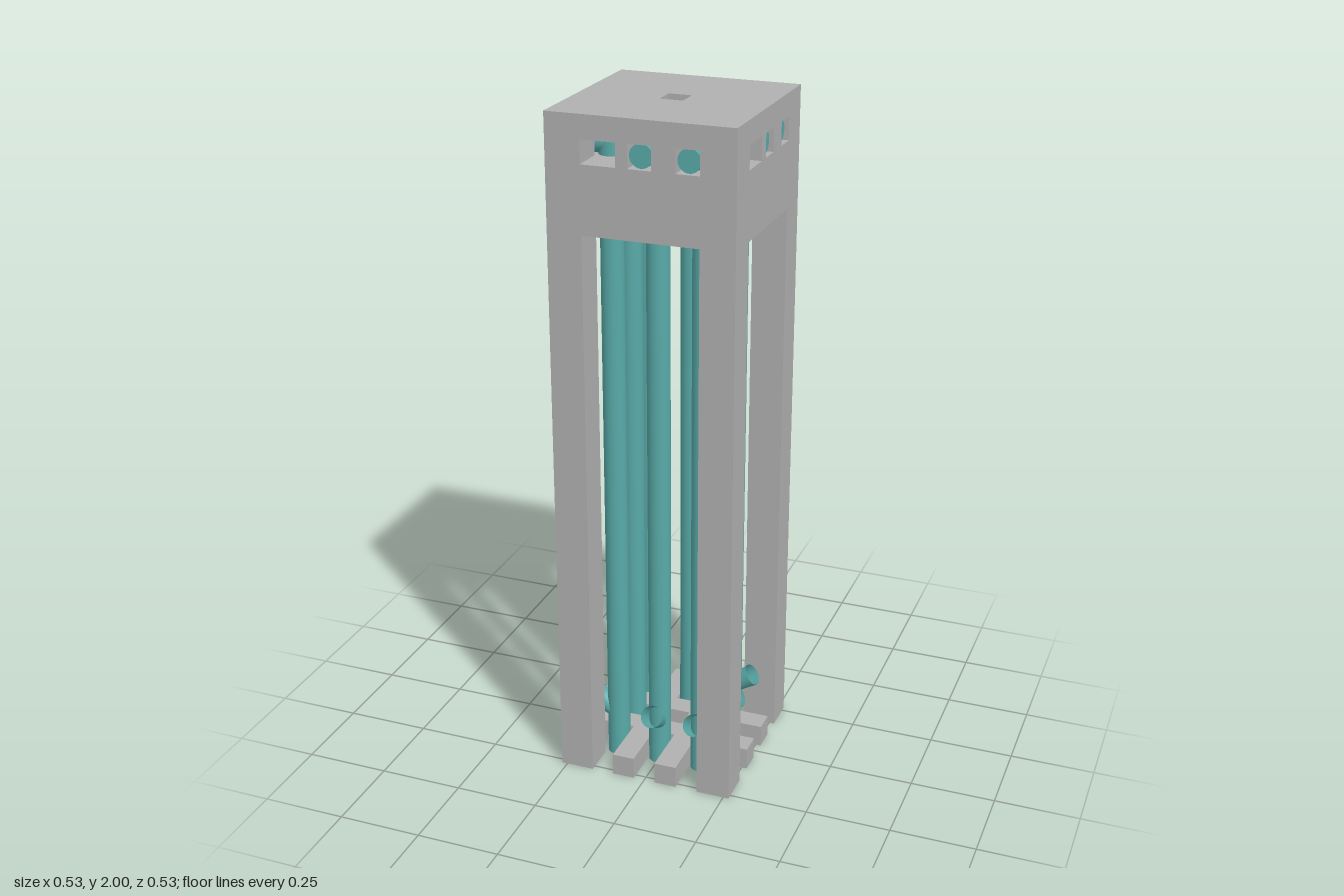
import * as THREE from 'three';

const U = 1 / 30; // modelling unit: tower is 16 x 60 x 16

export function createModel() {
  const stone = new THREE.MeshStandardMaterial({ color: 0xb0b0b0 });
  stone.name = 'grey frame';
  const teal = new THREE.MeshStandardMaterial({ color: 0x58aaa8, side: THREE.DoubleSide });
  teal.name = 'teal pipe';

  const model = new THREE.Group();
  model.name = 'pipeTower';

  const add = (parent, geometry, material, name) => {
    const mesh = new THREE.Mesh(geometry, material);
    mesh.name = name;
    parent.add(mesh);
    return mesh;
  };
  const rectHole = (x0, y0, x1, y1) => new THREE.Path([
    [x0, y0], [x0, y1], [x1, y1], [x1, y0],
  ].map(([x, y]) => new THREE.Vector2(x, y)));

  // Straight pipe between two points, optionally flared and open
  const pipe = (parent, a, b, r0, r1, open, name) => {
    const from = new THREE.Vector3(...a), to = new THREE.Vector3(...b);
    const dir = to.clone().sub(from);
    const mesh = add(parent, new THREE.CylinderGeometry(r1, r0, dir.length(), 32, 1, open), teal, name);
    mesh.position.copy(from).add(to).multiplyScalar(0.5);
    mesh.quaternion.setFromUnitVectors(new THREE.Vector3(0, 1, 0), dir.normalize());
    return mesh;
  };

  // One wall: corner post, lintel, one wide and two square windows
  const wallShape = new THREE.Shape([
    [-8, 0], [-5, 0], [-5, 50.2], [5, 50.2], [5, 60], [-8, 60],
  ].map(([x, y]) => new THREE.Vector2(x, y)));
  wallShape.holes.push(rectHole(-5, 56, -2, 58), rectHole(-1, 56, 1, 58), rectHole(3, 56, 5, 58));
  const wallGeometry = new THREE.ExtrudeGeometry(wallShape, { depth: 3, bevelEnabled: false });
  wallGeometry.translate(0, 0, 5);

  // Four sides in rotation, each with two pipes opening outwards
  for (let i = 0; i < 4; i++) {
    const side = new THREE.Group();
    side.name = 'side' + (i + 1);
    side.rotation.y = i * Math.PI / 2;
    add(side, wallGeometry, stone, 'wallAndPost');
    for (const x of [0, 4]) {
      pipe(side, [x, 0, 4], [x, 57.9, 4], 1, 1, false, 'uprightPipe');
      pipe(side, [x, 57, 4], [x, 57, 7.6], 0.99, 0.99, false, 'upperOutlet');
      pipe(side, [x, 4.0, 4], [x, 5.5, 6.1], 0.75, 1, true, 'lowerSpout');
    }
    model.add(side);
  }

  // Slabs inside the head, pierced by the central shaft
  for (const [y, h, name] of [[50.2, 5.8, 'headFloor'], [58, 2, 'roof']]) {
    const s = new THREE.Shape([
      new THREE.Vector2(-5, -5), new THREE.Vector2(5, -5),
      new THREE.Vector2(5, 5), new THREE.Vector2(-5, 5),
    ]);
    s.holes.push(rectHole(-1, -1, 1, 1));
    const g = new THREE.ExtrudeGeometry(s, { depth: h, bevelEnabled: false });
    g.rotateX(-Math.PI / 2);
    add(model, g, stone, name).position.y = y;
  }

  // Crossed base bars between the pipes
  for (const p of [-2, 2]) {
    add(model, new THREE.BoxGeometry(2, 2, 16), stone, 'baseBarLengthwise').position.set(p, 1, 0);
    for (const [x, w] of [[-5.5, 5], [0, 2], [5.5, 5]]) {
      add(model, new THREE.BoxGeometry(w, 2, 2), stone, 'baseBarCrosswise').position.set(x, 1, p);
    }
  }

  model.scale.setScalar(U);
  const root = new THREE.Group();
  root.name = 'tower';
  root.add(model);
  return root;
}
